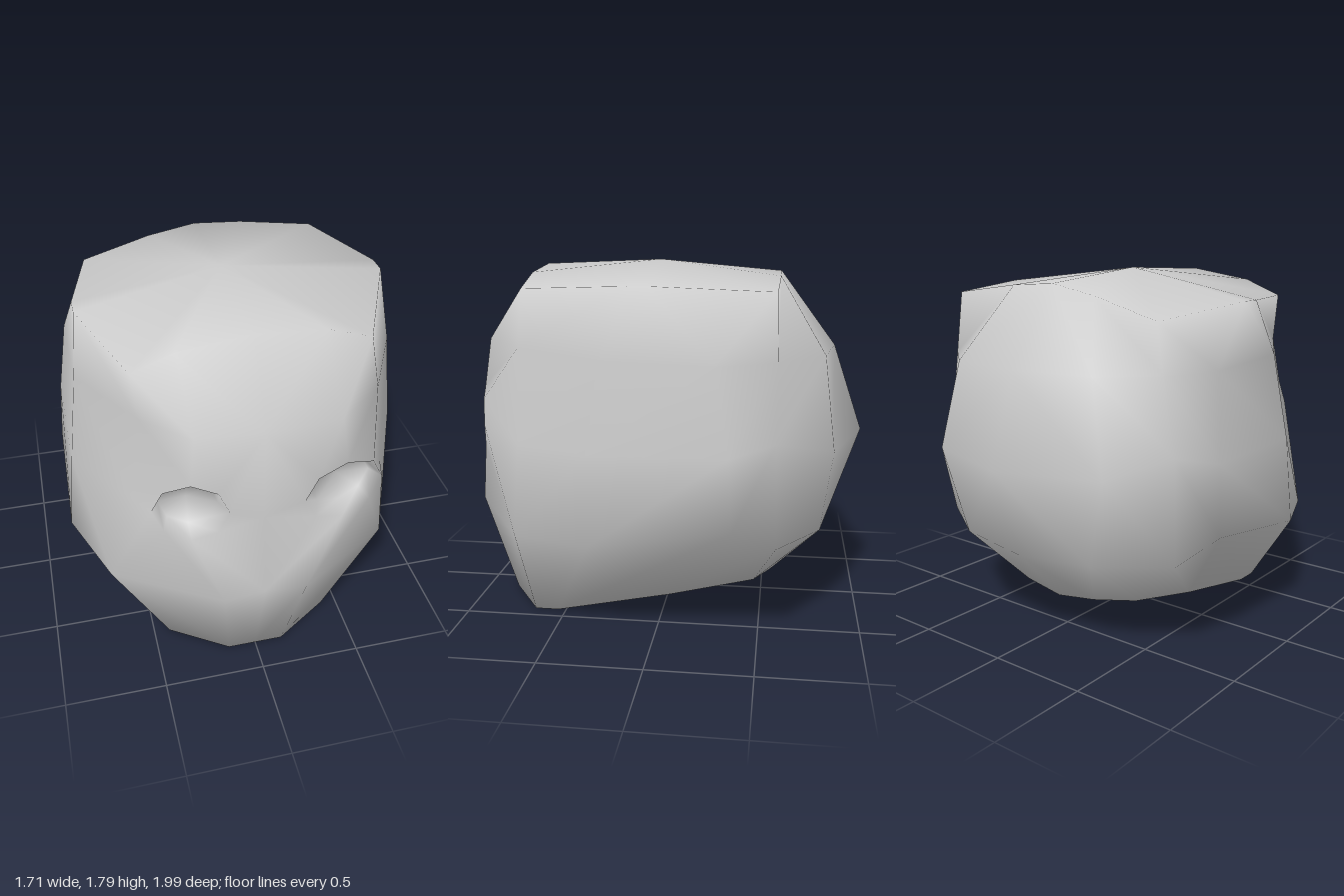
import * as THREE from 'three';
import { mergeVertices } from 'three/addons/utils/BufferGeometryUtils.js';

// Half cross-sections of the head, each running from front centre round the side to back centre
const rows = [
  // jaw
  [[0, 0, 0.84], [0.14, 0, 0.84], [0.42, 0, 0.66], [0.42, 0, 0.54], [0.45, 0.13, -0.05], [0.42, 0.22, -0.47], [0.22, 0.2, -0.55], [0, 0.17, -0.56]],
  // cheeks
  [[0, 0.54, 0.98], [0.2, 0.53, 0.99], [0.7, 0.5, 0.67], [0.86, 0.52, 0.28], [0.85, 0.61, -0.38], [0.73, 0.5, -0.58], [0.4, 0.49, -0.79], [0, 0.47, -0.84]],
  // eye line
  [[0, 0.95, 0.91], [0.4, 1.02, 0.8], [0.66, 0.95, 0.65], [0.85, 0.95, 0.28], [0.85, 0.95, -0.36], [0.74, 1, -0.57], [0.52, 0.92, -0.84], [0, 0.92, -1]],
  // forehead
  [[0, 1.41, 0.89], [0.36, 1.41, 0.86], [0.6, 1.4, 0.65], [0.82, 1.38, 0.22], [0.82, 1.36, -0.3], [0.68, 1.36, -0.57], [0.42, 1.36, -0.79], [0, 1.36, -0.85]],
  // crown edge
  [[0, 1.765, 0.65], [0.34, 1.735, 0.64], [0.55, 1.67, 0.64], [0.8, 1.7, 0.09], [0.8, 1.7, -0.01], [0.64, 1.67, -0.56], [0.25, 1.72, -0.57], [0, 1.735, -0.57]],
];
const crown = [0, 1.79, 0.05];
const underside = [0, 0.05, -0.12];

// Grid points [row, column] around an eye socket, anticlockwise from the temple
const socketBorder = [[2, 2], [3, 2], [3, 1], [3, 0], [2, 0], [1, 0], [1, 1], [1, 2]];

// A ring of eight points inside the socket, following the curve of the face
function eyeRing(scale, depth) {
  return socketBorder.map((_, i) => {
    const a = (i * Math.PI) / 4;
    const x = 0.39 + 0.2 * scale * Math.cos(a);
    return [x, 1.02 + 0.16 * scale * Math.sin(a), 0.93 - 0.28 * x * x - depth];
  });
}

// The right side of the head is a little smaller than the left
function rightSide([x, y, z]) {
  const onFace = z > 0.6 && y > 0.8 && y < 1.5;
  const narrow = onFace ? 0.15 * x : 0.22 * Math.max(0, x - 0.5) * Math.max(0, y - 0.4);
  const drop = y > 1.5 ? (z < -0.5 ? 0.12 : 0.06) * x : 0;
  return [narrow - x, y - drop, z];
}

function headGeometry() {
  const positions = [];
  for (const left of [true, false]) {
    const tri = (a, b, c) => {
      const corners = left ? [a, b, c] : [a, c, b].map(rightSide);
      positions.push(...corners.flat());
    };
    const quad = (a, b, c, d) => { tri(a, b, c); tri(a, c, d); };

    // skull wall, leaving an opening for the eye socket
    for (let r = 0; r < rows.length - 1; r++) {
      for (let c = 0; c < 7; c++) {
        if ((r === 1 || r === 2) && c < 2) continue;
        quad(rows[r][c], rows[r][c + 1], rows[r + 1][c + 1], rows[r + 1][c]);
      }
    }
    // crown and underside
    for (let c = 0; c < 7; c++) {
      tri(rows[4][c], rows[4][c + 1], crown);
      tri(rows[0][c + 1], rows[0][c], underside);
    }
    // eye socket: face to rim, rim to bowl, bowl to its deepest point
    const rings = [socketBorder.map(([r, c]) => rows[r][c]), eyeRing(1, 0), eyeRing(0.78, 0.08)];
    const deepest = [0.39, 1.02, 0.76];
    for (let i = 0; i < 8; i++) {
      const j = (i + 1) % 8;
      for (let k = 0; k < 2; k++) quad(rings[k][i], rings[k][j], rings[k + 1][j], rings[k + 1][i]);
      tri(rings[2][i], rings[2][j], deepest);
    }
  }
  let geometry = new THREE.BufferGeometry();
  geometry.setAttribute('position', new THREE.Float32BufferAttribute(positions, 3));
  geometry = mergeVertices(geometry, 1e-4);
  geometry.computeVertexNormals();
  return geometry;
}

export function createModel() {
  const group = new THREE.Group();
  group.name = 'headModel';
  const grey = new THREE.MeshStandardMaterial({ color: 0xcccccc });
  grey.name = 'light grey';
  const head = new THREE.Mesh(headGeometry(), grey);
  head.name = 'head';
  group.add(head);
  return group;
}
